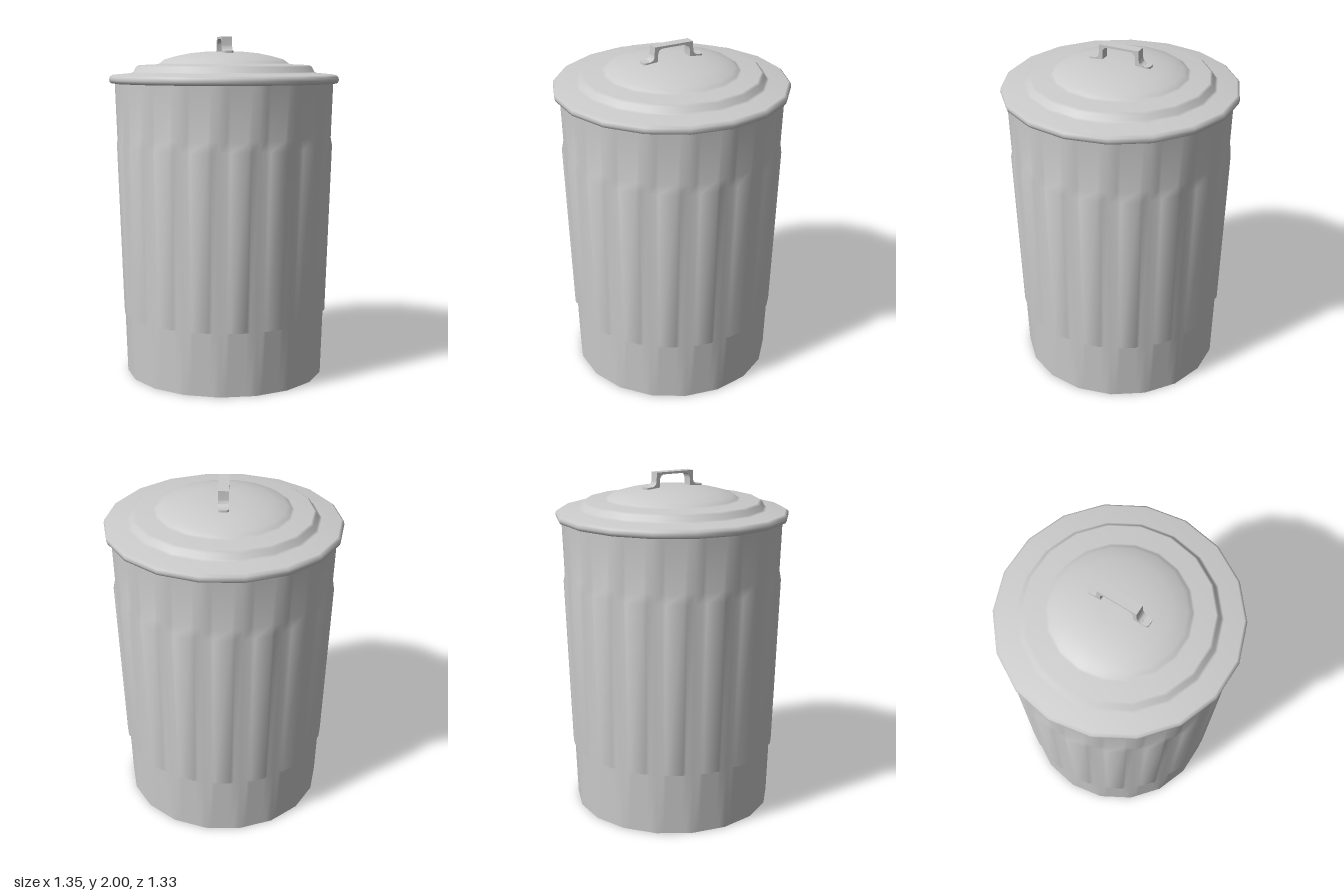
import * as THREE from 'three';
import { toCreasedNormals } from 'three/addons/utils/BufferGeometryUtils.js';

const SIDES = 18;
const material = new THREE.MeshStandardMaterial({ color: 0xcccccc });

function addMesh(group, name, geometry) {
  const mesh = new THREE.Mesh(geometry, material);
  mesh.name = name;
  group.add(mesh);
  return mesh;
}

// Tapered wall: flat-sided cross-sections with one raised rib on every side
function wallGeometry() {
  const rows = [[0, 0], [0.37, 0], [0.37, 1], [1.37, 1], [1.43, 0], [1.74, 0]]; // height, rib strength
  const columns = [[-1, 0], [-0.62, 0], [-0.44, 1], [0.44, 1], [0.62, 0]]; // place on side, rib strength
  const ribDepth = 0.014;
  const half = Math.PI / SIDES;
  const positions = [], index = [];
  for (const [y, rowRib] of rows) {
    const radius = 0.59 + (0.645 - 0.59) * y / 1.74;
    for (let side = 0; side < SIDES; side++) {
      const a = (2 * side + 1) * half;
      for (const [t, columnRib] of columns) {
        const out = radius * Math.cos(half) + ribDepth * rowRib * columnRib;
        const along = radius * Math.sin(half) * t;
        positions.push(
          out * Math.cos(a) - along * Math.sin(a), y,
          out * Math.sin(a) + along * Math.cos(a));
      }
    }
  }
  const n = SIDES * columns.length;
  for (let r = 0; r < rows.length - 1; r++) {
    for (let c = 0; c < n; c++) {
      const a = r * n + c, b = r * n + (c + 1) % n;
      index.push(a, a + n, b, b, a + n, b + n);
    }
  }
  const geometry = new THREE.BufferGeometry();
  geometry.setAttribute('position', new THREE.Float32BufferAttribute(positions, 3));
  geometry.setIndex(index);
  return toCreasedNormals(geometry, 0.8);
}

// Stepped lid with a rolled rim, from underside to crown
function lidGeometry() {
  const profile = [
    [0.6, 1.73], [0.66, 1.73], [0.672, 1.735], [0.677, 1.75], [0.675, 1.768], [0.66, 1.78],
    [0.55, 1.79], [0.535, 1.798], [0.52, 1.826], [0.505, 1.836], [0.395, 1.841],
    [0.38, 1.848], [0.355, 1.868], [0.28, 1.889], [0.2, 1.905], [0.11, 1.914], [0, 1.916],
  ].map(([r, y]) => new THREE.Vector2(r, y));
  return new THREE.LatheGeometry(profile, SIDES, Math.PI / SIDES, Math.PI * 2);
}

// Strap handle seen from the side, extruded across its width
function handleGeometry(width) {
  const s = new THREE.Shape();
  s.moveTo(-0.15, 1.908);
  s.lineTo(-0.15, 1.919);
  s.quadraticCurveTo(-0.124, 1.922, -0.122, 1.95);
  s.lineTo(-0.12, 2);
  s.lineTo(0.12, 2);
  s.lineTo(0.122, 1.95);
  s.quadraticCurveTo(0.124, 1.922, 0.15, 1.919);
  s.lineTo(0.15, 1.908);
  s.lineTo(0.1, 1.908);
  s.lineTo(0.1, 1.955);
  s.quadraticCurveTo(0.097, 1.985, 0.07, 1.987);
  s.lineTo(-0.07, 1.987);
  s.quadraticCurveTo(-0.097, 1.985, -0.1, 1.955);
  s.lineTo(-0.1, 1.908);
  s.closePath();
  const geometry = new THREE.ExtrudeGeometry(s, { depth: width, bevelEnabled: false, curveSegments: 5 });
  geometry.translate(0, 0, -width / 2).rotateY(Math.PI / 2);
  return toCreasedNormals(geometry, 0.6);
}

// Thin foot with rounded outer corners, lying on the lid towards +z
function footGeometry(width) {
  const w = width / 2, r = 0.02;
  const s = new THREE.Shape();
  s.moveTo(-w, 0.1);
  s.lineTo(w, 0.1);
  s.lineTo(w, 0.188 - r);
  s.quadraticCurveTo(w, 0.188, w - r, 0.188);
  s.lineTo(r - w, 0.188);
  s.quadraticCurveTo(-w, 0.188, -w, 0.188 - r);
  s.closePath();
  const geometry = new THREE.ExtrudeGeometry(s, { depth: 0.018, bevelEnabled: false, curveSegments: 4 });
  return geometry.rotateX(Math.PI / 2).translate(0, 1.918, 0);
}

export function createModel() {
  const model = new THREE.Group();
  model.name = 'dustbin';

  addMesh(model, 'ribbedWall', wallGeometry());
  addMesh(model, 'base', new THREE.CircleGeometry(0.59, SIDES).rotateX(Math.PI / 2));
  addMesh(model, 'lid', lidGeometry());

  // Handle with a foot at each end
  const handle = new THREE.Group();
  handle.name = 'handle';
  addMesh(handle, 'strap', handleGeometry(0.06));
  addMesh(handle, 'frontFoot', footGeometry(0.06));
  addMesh(handle, 'backFoot', footGeometry(0.06)).rotation.y = Math.PI;
  model.add(handle);

  return model;
}
